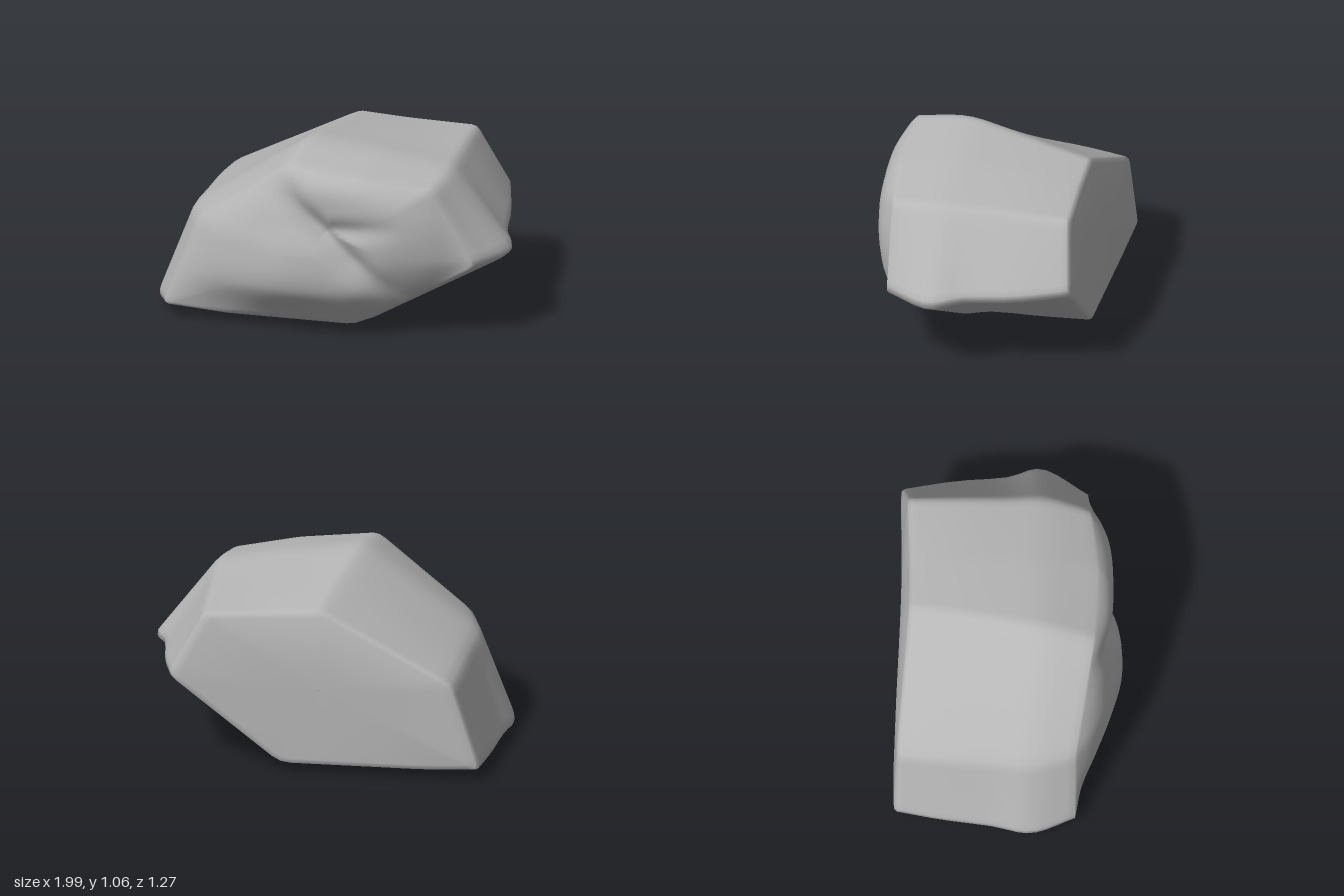
import * as THREE from 'three';

// Each row follows one long edge of the boulder from back to front (x, y, z)
const EDGES = [
  [[-0.92, 0.07, -0.59], [-0.955, 0.06, -0.33], [-0.98, 0.055, -0.05], [-1.01, 0.05, 0.17], [-0.92, 0.08, 0.41]],  // left tip
  [[-0.6, 0.05, -0.59], [-0.6, 0.045, -0.33], [-0.6, 0.035, -0.05], [-0.6, 0.02, 0.15], [-0.55, 0.055, 0.41]],     // bottom left
  [[0.2, 0.045, -0.6], [0.21, 0.042, -0.33], [0.21, 0.035, -0.05], [0.19, -0.008, 0.14], [0.17, 0.05, 0.4]],       // bottom right
  [[0.82, 0.55, -0.63], [0.9, 0.51, -0.33], [0.945, 0.49, -0.05], [1.015, 0.465, 0.13], [0.87, 0.46, 0.4]],        // right tip
  [[0.63, 0.91, -0.58], [0.64, 0.92, -0.33], [0.65, 0.925, -0.05], [0.66, 0.93, 0.17], [0.62, 0.89, 0.42]],        // right shoulder
  [[0.25, 0.93, -0.55], [0.26, 0.96, -0.33], [0.27, 0.985, -0.05], [0.27, 1.0, 0.17], [0.25, 0.95, 0.48]],         // top
  [[-0.03, 0.95, -0.54], [-0.06, 0.985, -0.33], [-0.11, 1.03, -0.05], [-0.155, 1.058, 0.2], [-0.19, 1.005, 0.48]], // top ridge
  [[-0.76, 0.57, -0.58], [-0.78, 0.59, -0.33], [-0.79, 0.6, -0.05], [-0.8, 0.6, 0.17], [-0.73, 0.6, 0.4]],         // left shoulder
];

// Depth of the front on a grid: columns x = -0.8 to 0.8, rows y = 0.1 to 0.9, both in steps of 0.2
const FRONT = [
  [0.43, 0.45, 0.475, 0.485, 0.49, 0.48, 0.44, 0.40, 0.38],
  [0.46, 0.515, 0.575, 0.615, 0.61, 0.575, 0.49, 0.44, 0.39],
  [0.455, 0.515, 0.58, 0.63, 0.62, 0.575, 0.545, 0.495, 0.42],
  [0.43, 0.485, 0.54, 0.575, 0.575, 0.575, 0.56, 0.515, 0.43],
  [0.40, 0.45, 0.50, 0.54, 0.58, 0.575, 0.55, 0.49, 0.41],
];

// Clefts between the lobes: x, y of both ends, then depth at both ends
const CLEFTS = [
  [-0.24, 0.88, 0.03, 0.63, 0.01, 0.07],
  [0.03, 0.63, 0.42, 0.24, 0.07, 0.02],
  [0.03, 0.64, 0.38, 0.68, 0.05, 0.01],
];

// Smooth curve through evenly spaced values
function spline(values, u) {
  const last = values.length - 1;
  const at = (i) => values[THREE.MathUtils.clamp(i, 0, last)];
  const v = THREE.MathUtils.clamp(u, 0, last);
  const i = Math.floor(v), f = v - i;
  const a = at(i - 1), b = at(i), c = at(i + 1), d = at(i + 2);
  return b + 0.5 * f * (c - a + f * (2 * a - 5 * b + 4 * c - d + f * (3 * (b - c) + d - a)));
}

function frontZ(x, y) {
  const base = spline(FRONT.map((row) => spline(row, (x + 0.8) / 0.2)), (y - 0.1) / 0.2);
  let cut = 0;
  for (const [ax, ay, bx, by, da, db] of CLEFTS) {
    const dx = bx - ax, dy = by - ay;
    const f = THREE.MathUtils.clamp(((x - ax) * dx + (y - ay) * dy) / (dx * dx + dy * dy), 0, 1);
    const d2 = (x - ax - f * dx) ** 2 + (y - ay - f * dy) ** 2;
    cut = Math.max(cut, THREE.MathUtils.lerp(da, db, f) * Math.exp(-d2 / 0.004));
  }
  return base - cut;
}

const PER_EDGE = 14;
const curves = EDGES.map((e) => new THREE.CatmullRomCurve3(e.map((p) => new THREE.Vector3(...p))));

// Closed loop around the boulder at s (0 = back, 1 = front rim), with softened corners
function outline(s) {
  const corners = curves.map((c) => c.getPoint(s));
  const loop = [];
  corners.forEach((p, k) => {
    const q = corners[(k + 1) % corners.length];
    for (let j = 0; j < PER_EDGE; j++) loop.push(p.clone().lerp(q, j / PER_EDGE));
  });
  const n = loop.length;
  return loop.map((p, i) => {
    const mid = loop[(i + 1) % n].clone().add(loop[(i + n - 1) % n]).multiplyScalar(0.5);
    return p.clone().lerp(mid, 0.5);
  });
}

function boulderGeometry() {
  const rings = [];
  const centre = new THREE.Vector3(-0.02, 0.5, 0);

  // Nearly flat back, from its middle outwards
  const back = outline(0);
  for (const t of [0.001, 0.25, 0.5, 0.75, 0.93, 0.985]) {
    rings.push(back.map((p) => {
      const q = centre.clone().lerp(p, t);
      q.z = THREE.MathUtils.lerp(-0.6 - 0.025 * q.x * q.x, p.z, t ** 3) - 0.004;
      return q;
    }));
  }

  // Sides
  for (const s of [0.012, 0.04, 0.1, 0.2, 0.3, 0.4, 0.5, 0.58, 0.66, 0.72, 0.78, 0.84, 0.9, 0.95, 1]) {
    rings.push(outline(s));
  }

  // Domed front, closing inwards
  const rim = outline(1);
  for (let k = 1; k <= 36; k++) {
    const t = Math.max(1 - k / 36, 0.001);
    rings.push(rim.map((p) => {
      const q = centre.clone().lerp(p, t);
      q.z = THREE.MathUtils.lerp(frontZ(q.x, q.y), p.z, t ** 9);
      return q;
    }));
  }

  const n = rim.length;
  const index = [];
  for (let r = 0; r < rings.length - 1; r++) {
    for (let i = 0; i < n; i++) {
      const a = r * n + i, b = r * n + (i + 1) % n;
      index.push(a, b, b + n, a, b + n, a + n);
    }
  }
  const geometry = new THREE.BufferGeometry().setFromPoints(rings.flat());
  geometry.setIndex(index);
  geometry.computeVertexNormals();
  return geometry;
}

export function createModel() {
  const stone = new THREE.MeshStandardMaterial({ color: 0xb6b6b6 });
  stone.name = 'grey stone';
  const boulder = new THREE.Mesh(boulderGeometry(), stone);
  boulder.name = 'boulder';
  const model = new THREE.Group();
  model.name = 'rock';
  model.add(boulder);
  return model;
}
